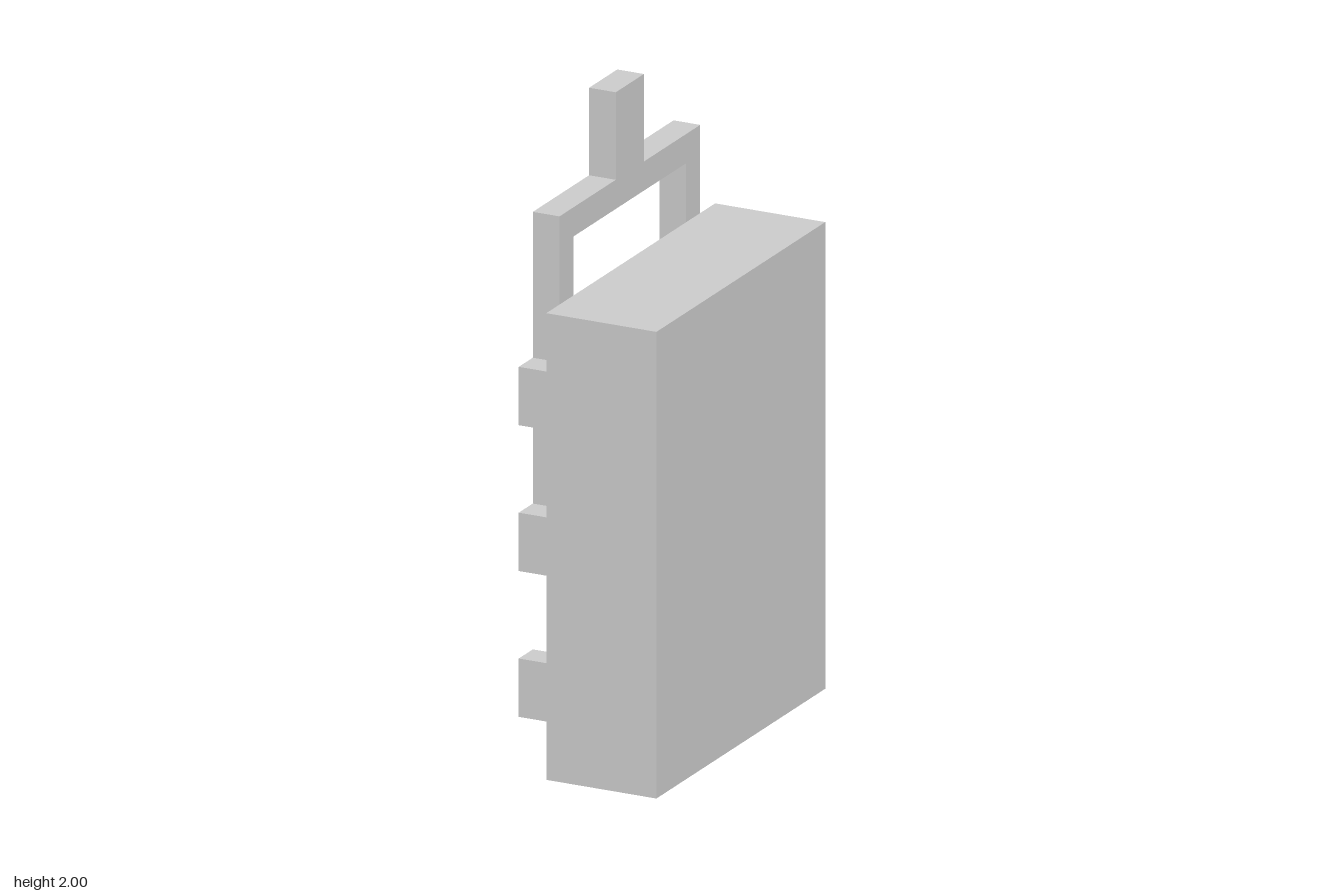
import * as THREE from 'three';

const U = 1 / 11; // the whole model sits on a grid of this size

export function createModel() {
  const group = new THREE.Group();
  const material = new THREE.MeshStandardMaterial({ color: 0xcccccc, flatShading: true });

  const add = (name, geometry, x, y, z) => {
    const mesh = new THREE.Mesh(geometry, material);
    mesh.name = name;
    mesh.position.set(x * U, y * U, z * U);
    group.add(mesh);
  };

  // Main block
  add('body', new THREE.BoxGeometry(4 * U, 16 * U, 12 * U), 0.5, 8, 0);

  // Lugs that guide the handle legs: three rows, a pair around each leg
  const lug = new THREE.BoxGeometry(U, 2 * U, U);
  for (const y of [3, 8, 13]) {
    for (const side of [-1, 1]) {
      add('outerLug', lug, -2, y, side * 5.5);
      add('innerLug', lug, -2, y, side * 3.5);
    }
  }

  // Sliding handle: right half of the outline, mirrored to the left
  const half = [[4, 10], [4, 8], [5, 8], [5, 19], [1, 19], [1, 22]];
  const outline = [...half, ...half.map(([z, y]) => [-z, y]).reverse()];
  const toPoints = (list) => list.map(([z, y]) => new THREE.Vector2(z * U, y * U));
  const shape = new THREE.Shape(toPoints(outline));
  shape.holes.push(new THREE.Path(toPoints([[-4, 11], [-4, 18], [4, 18], [4, 11]])));
  const handle = new THREE.ExtrudeGeometry(shape, { depth: 0.97 * U, bevelEnabled: false });
  handle.rotateY(-Math.PI / 2);
  add('handle', handle, -1.53, 0, 0);

  return group;
}
